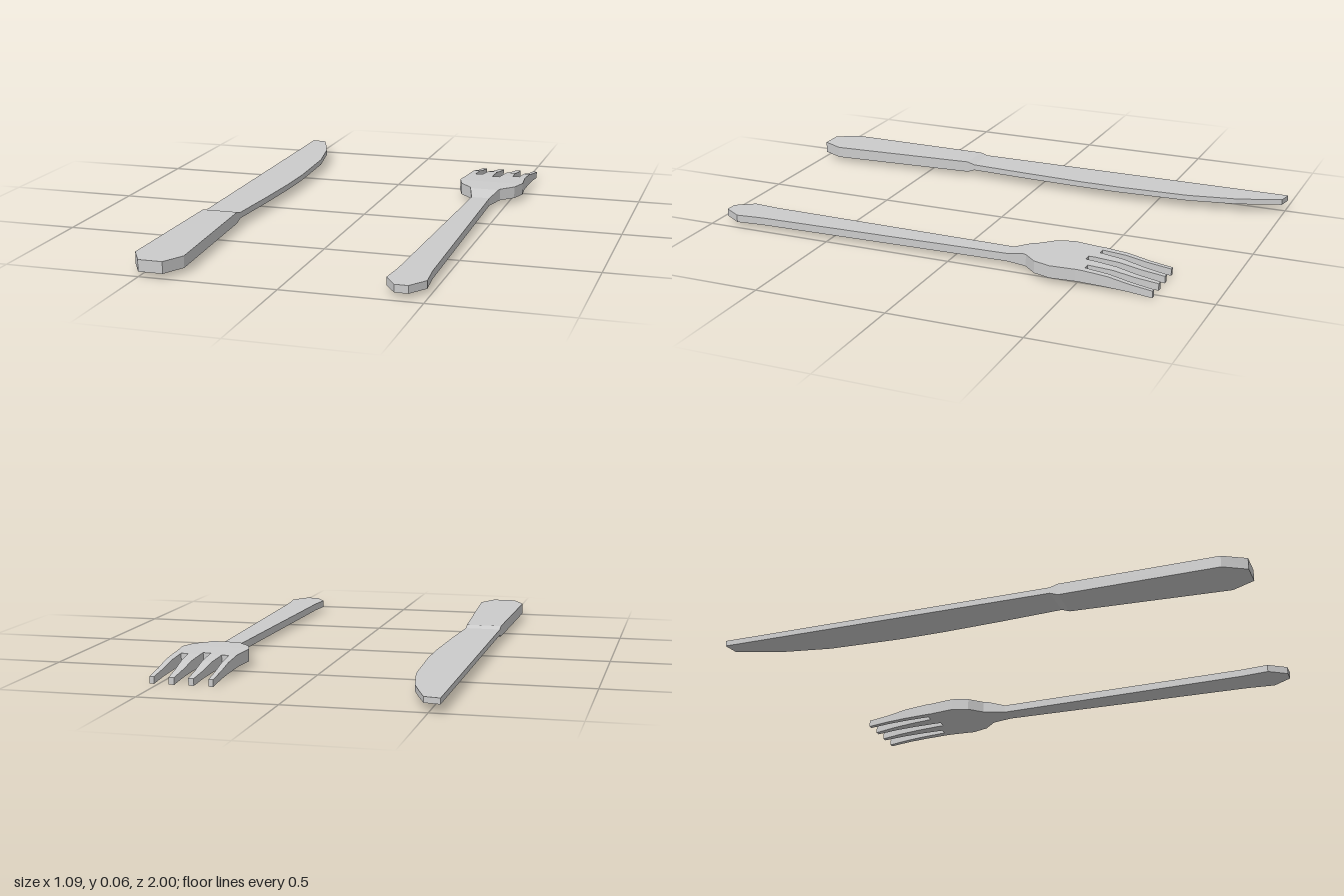
import * as THREE from 'three';

const metal = new THREE.MeshStandardMaterial({ color: 0xcccccc, flatShading: true });

// Piecewise-linear lookup: rows are [z, a, b] sorted by rising z.
function sample(rows, z) {
  let i = 0;
  while (i < rows.length - 2 && z > rows[i + 1][0]) i++;
  const [p, q] = [rows[i], rows[i + 1]];
  const t = THREE.MathUtils.clamp((z - p[0]) / (q[0] - p[0]), 0, 1);
  return [1, 2].map((k) => p[k] + (q[k] - p[k]) * t);
}

// Lofts a solid bar from an outline (z, x min, x max) and a height profile (z, y min, y max).
function bar(name, outline, profile) {
  const from = outline[0][0], to = outline[outline.length - 1][0];
  const zs = [...new Set([...outline, ...profile].map((r) => r[0]))]
    .filter((z) => z >= from && z <= to).sort((a, b) => a - b);
  const pos = [], index = [];
  for (const z of zs) {
    const [x0, x1] = sample(outline, z), [y0, y1] = sample(profile, z);
    pos.push(x0, y0, z, x1, y0, z, x1, y1, z, x0, y1, z);
  }
  for (let i = 0; i < zs.length - 1; i++) {
    for (let k = 0; k < 4; k++) {
      const a = i * 4 + k, b = i * 4 + (k + 1) % 4;
      index.push(a, b, b + 4, a, b + 4, a + 4);
    }
  }
  const e = (zs.length - 1) * 4;
  index.push(0, 2, 1, 0, 3, 2, e, e + 1, e + 2, e, e + 2, e + 3);
  const geo = new THREE.BufferGeometry();
  geo.setAttribute('position', new THREE.Float32BufferAttribute(pos, 3));
  geo.setIndex(index);
  const flat = geo.toNonIndexed();
  flat.computeVertexNormals();
  const mesh = new THREE.Mesh(flat, metal);
  mesh.name = name;
  return mesh;
}

function createKnife() {
  const knife = new THREE.Group();
  knife.name = 'knife';
  // Blade: straight spine, curved cutting edge
  knife.add(bar('knifeBlade', [
    [-1, -0.54, -0.535], [-0.99, -0.54, -0.482], [-0.9, -0.54, -0.448], [-0.82, -0.54, -0.42],
    [-0.635, -0.54, -0.386], [-0.345, -0.54, -0.373], [-0.18, -0.54, -0.375],
    [0.05, -0.54, -0.386], [0.295, -0.54, -0.402],
  ], [[-1, 0.03, 0.051], [0.295, 0.029, 0.052]]));
  // Handle: ramps up from the blade, chamfered butt
  knife.add(bar('knifeHandle', [
    [0.295, -0.54, -0.402], [0.325, -0.54, -0.402], [0.915, -0.548, -0.367], [1, -0.5, -0.41],
  ], [[0.295, 0.029, 0.052], [0.325, 0.018, 0.061], [1, 0.018, 0.061]]));
  return knife;
}

function createFork() {
  const fork = new THREE.Group();
  fork.name = 'fork';
  fork.position.x = 0.415;
  // Side profile: tips dip to the ground, head arches, handle is level
  const profile = [
    [-0.785, 0, 0.026], [-0.7, 0.009, 0.038], [-0.62, 0.014, 0.054], [-0.53, 0.017, 0.062],
    [-0.4, 0.019, 0.065], [-0.28, 0.019, 0.064], [-0.21, 0.016, 0.046], [0.97, 0.016, 0.044],
  ];
  const symmetric = (rows) => rows.map(([z, w]) => [z, -w, w]);
  fork.add(bar('forkHandle', symmetric([
    [-0.21, 0.036], [0.79, 0.06], [0.895, 0.07], [0.965, 0.024],
  ]), profile));
  fork.add(bar('forkHead', symmetric([
    [-0.505, 0.119], [-0.41, 0.129], [-0.345, 0.108], [-0.295, 0.061], [-0.21, 0.036],
  ]), profile));

  // Tines and the short roots joining each pair
  for (const side of [-1, 1]) {
    const place = (name, rows) => fork.add(bar(name, rows.map(([z, a, b]) =>
      (side > 0 ? [z, a, b] : [z, -b, -a])), profile));
    place('tineRoot', [[-0.53, 0.016, 0.119], [-0.505, 0.015, 0.119]]);
    place('innerTine', [[-0.785, 0.026, 0.046], [-0.53, 0.016, 0.064]]);
    place('outerTine', [[-0.785, 0.1, 0.117], [-0.53, 0.091, 0.119]]);
  }
  return fork;
}

export function createModel() {
  const model = new THREE.Group();
  model.name = 'cutlery';
  model.add(createKnife(), createFork());
  return model;
}
